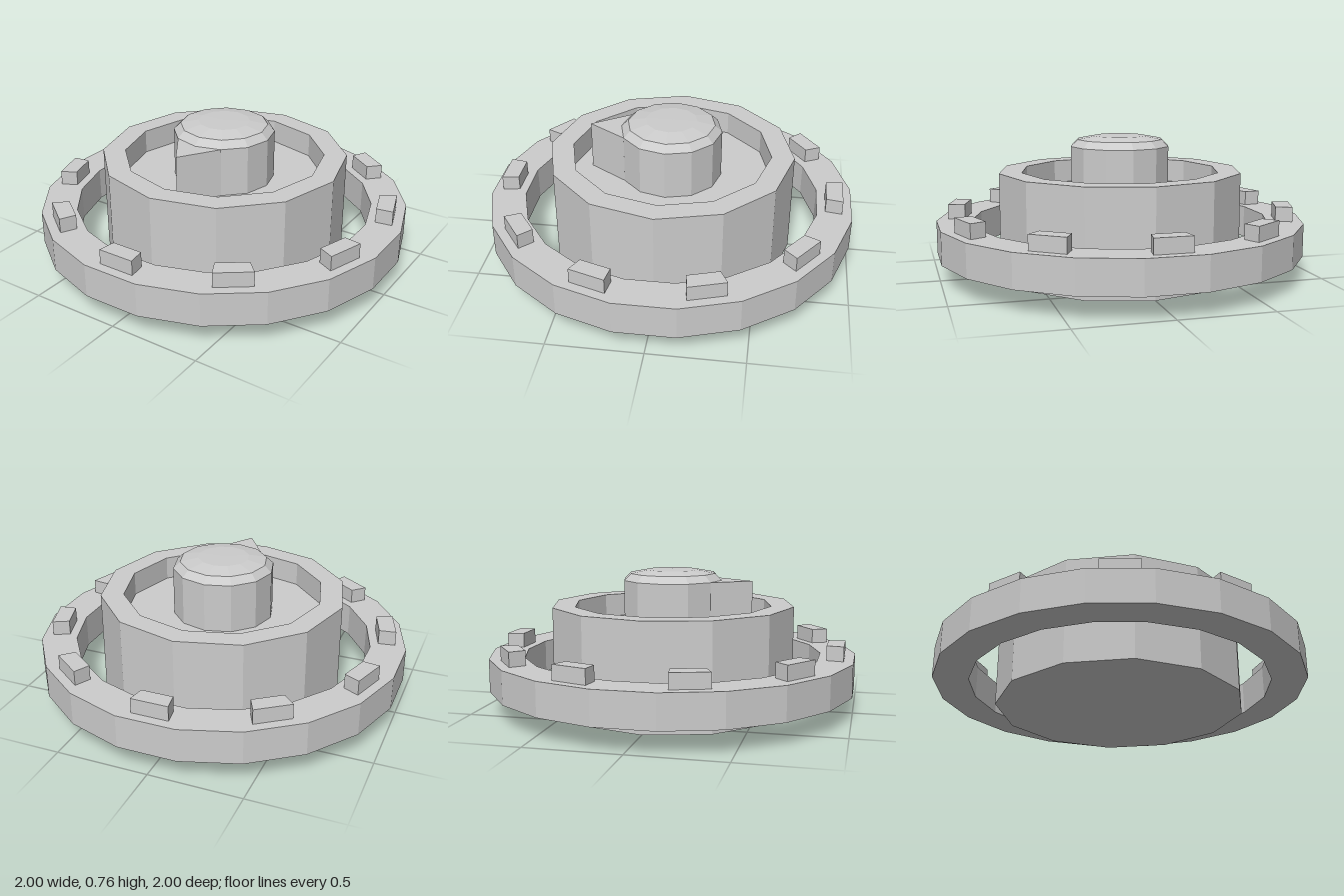
import * as THREE from 'three';

const material = new THREE.MeshStandardMaterial({ color: 0xcccccc, flatShading: true });

function addMesh(parent, name, geometry) {
  const mesh = new THREE.Mesh(geometry, material);
  mesh.name = name;
  parent.add(mesh);
  return mesh;
}

// Faceted turned part; profile is [radius, height] running up the outside
function turned(profile, sides, phase = 0) {
  return new THREE.LatheGeometry(profile.map(([r, y]) => new THREE.Vector2(r, y)), sides, phase);
}

// Upright prism from an outline of [x, z] points
function prism(outline, bottom, top) {
  const shape = new THREE.Shape(outline.map(([x, z]) => new THREE.Vector2(x, -z)));
  return new THREE.ExtrudeGeometry(shape, { depth: top - bottom, bevelEnabled: false })
    .rotateX(-Math.PI / 2)
    .translate(0, bottom, 0);
}

export function createModel() {
  const model = new THREE.Group();
  model.name = 'dial';

  // Twelve-sided body with a recessed top
  addMesh(model, 'body', turned(
    [[0, 0], [0.672, 0], [0.672, 0.57], [0.548, 0.57], [0.548, 0.44], [0, 0.44]], 12));

  // Domed knob standing in the recess, with a pointer facing the front
  const knob = new THREE.Group();
  knob.name = 'knob';
  model.add(knob);
  addMesh(knob, 'knobCap', turned(
    [[0.275, 0.44], [0.275, 0.705], [0.237, 0.742], [0.14, 0.76], [0, 0.762]], 12));
  addMesh(knob, 'pointer', prism([[-0.137, 0.237], [0, 0.445], [0.137, 0.237], [0, 0.2]], 0.44, 0.705));

  // Loose outer ring with flats at front, back and sides
  const ring = new THREE.Group();
  ring.name = 'outerRing';
  model.add(ring);
  addMesh(ring, 'ringBand', turned(
    [[0.82, 0.12], [1.0125, 0.12], [1.0125, 0.3], [0.82, 0.3], [0.82, 0.12]], 20, Math.PI / 20));

  // Ten tapered blocks around the ring
  const block = prism([[-0.085, 0.857], [-0.1, 0.948], [0.1, 0.948], [0.085, 0.857]], 0.3, 0.38);
  for (let i = 0; i < 10; i++) {
    addMesh(ring, `ringBlock${i + 1}`, block).rotation.y = (i * Math.PI) / 5;
  }

  return model;
}
